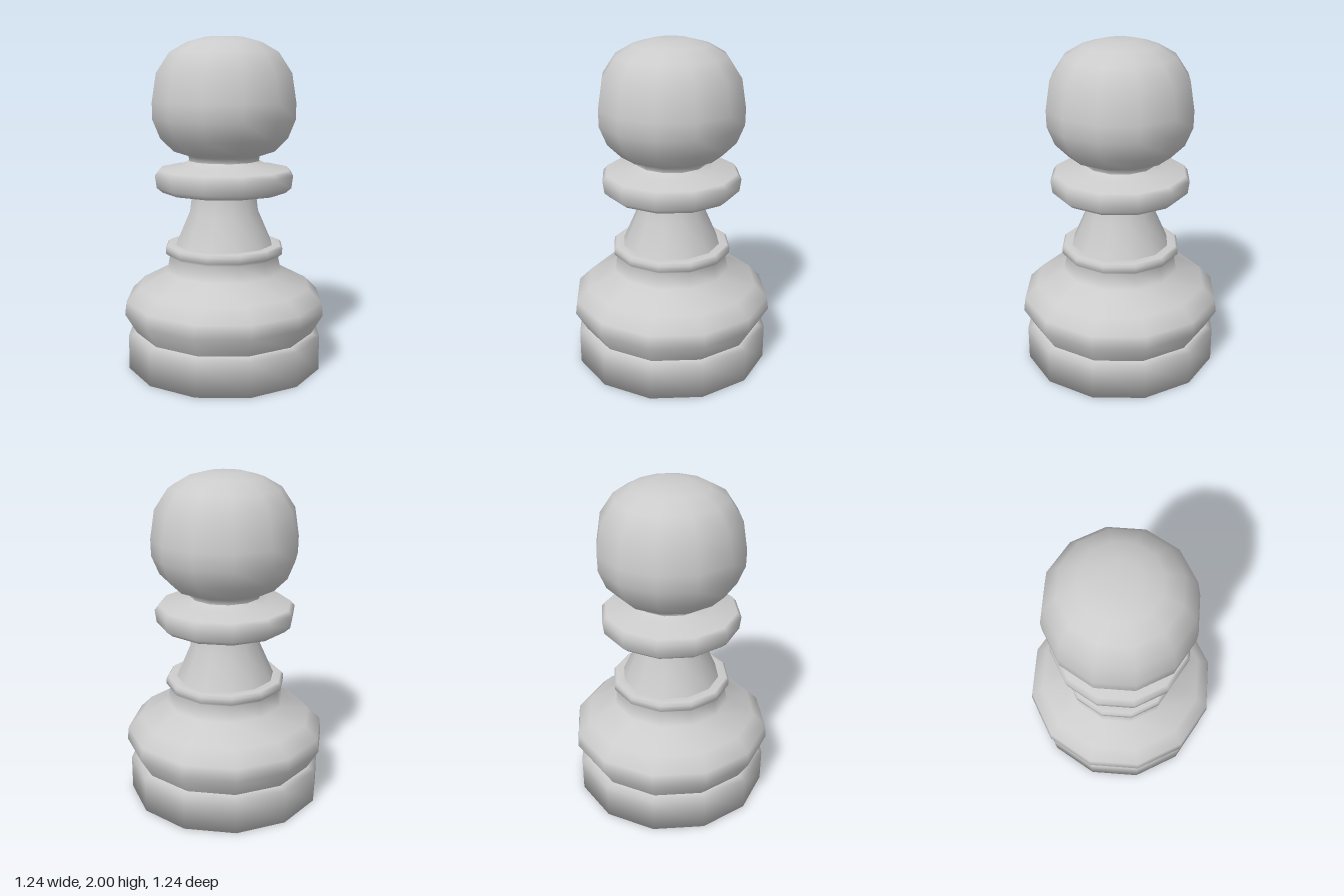
import * as THREE from 'three';

const SIDES = 12;

// Each part is a [radius, height] profile, bottom to top; neighbours share a ring.
const PROFILES = {
  plinth: [[0, 0], [0.6, 0], [0.6, 0.21], [0.55, 0.225]],
  body: [
    [0.55, 0.225], [0.62, 0.345], [0.61, 0.425], [0.53, 0.505], [0.36, 0.595],
    [0.34, 0.69], [0.365, 0.71], [0.365, 0.745], [0.35, 0.76], [0.3, 0.76],
  ],
  stem: [[0.3, 0.76], [0.215, 0.955], [0.2, 1.07]],
  collar: [
    [0.2, 1.07], [0.38, 1.085], [0.415, 1.115], [0.425, 1.19],
    [0.4, 1.22], [0.26, 1.24], [0.215, 1.27],
  ],
  head: [
    [0.215, 1.27], [0.22, 1.3], [0.31, 1.33], [0.39, 1.41], [0.435, 1.52], [0.437, 1.62],
    [0.41, 1.79], [0.33, 1.91], [0.225, 1.97], [0.11, 2], [0, 2],
  ],
};

export function createModel() {
  const group = new THREE.Group();
  group.name = 'pawn';
  const material = new THREE.MeshStandardMaterial({ color: 0xcccccc });

  // Turn every profile around the vertical axis
  for (const [name, profile] of Object.entries(PROFILES)) {
    const points = profile.map(([r, y]) => new THREE.Vector2(r, y));
    const mesh = new THREE.Mesh(new THREE.LatheGeometry(points, SIDES), material);
    mesh.name = name;
    group.add(mesh);
  }
  return group;
}
